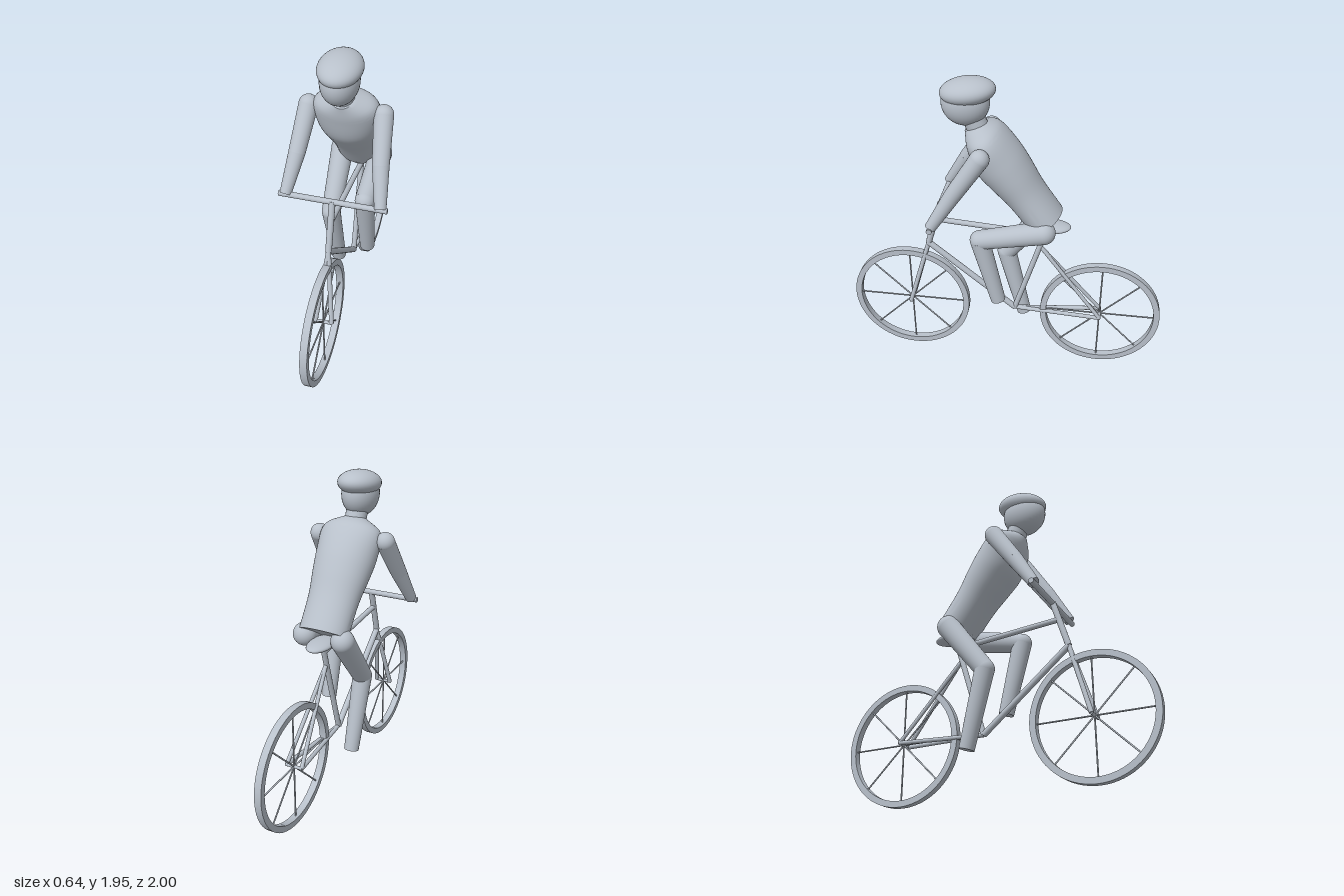
import * as THREE from 'three';
import { toCreasedNormals } from 'three/addons/utils/BufferGeometryUtils.js';

const V = (x, y, z) => new THREE.Vector3(x, y, z);

export function createModel() {
  const model = new THREE.Group();
  const grey = new THREE.MeshStandardMaterial({ color: 0xb8c0ca });
  grey.name = 'pale grey';

  function add(name, geometry, parent = model) {
    const mesh = new THREE.Mesh(geometry, grey);
    mesh.name = name;
    parent.add(mesh);
    return mesh;
  }
  // Round bar between two points, optionally tapered
  function bar(name, a, b, ra, rb = ra, parent = model, sides = 20) {
    const d = b.clone().sub(a);
    const mesh = add(name, new THREE.CylinderGeometry(rb, ra, d.length(), sides), parent);
    mesh.position.copy(a).addScaledVector(d, 0.5);
    mesh.quaternion.setFromUnitVectors(V(0, 1, 0), d.normalize());
    return mesh;
  }
  function ellipsoid(name, center, rx, ry, rz, parent = model) {
    const mesh = add(name, new THREE.SphereGeometry(1, 36, 24), parent);
    mesh.scale.set(rx, ry, rz);
    mesh.position.copy(center);
    return mesh;
  }
  // Two tapered segments with ball joints at the root and the bend
  function limb(name, root, bend, end, r) {
    const g = new THREE.Group();
    g.name = name;
    model.add(g);
    ellipsoid(name + 'RootJoint', root, r[0], r[0], r[0], g);
    bar(name + 'Upper', root, bend, r[0], r[1], g, 28);
    ellipsoid(name + 'BendJoint', bend, r[1], r[1], r[1], g);
    bar(name + 'Lower', bend, end, r[1], r[2], g, 28);
  }

  // Wheels: flat rectangular rim with eight spokes
  const axleY = 0.383, axleZ = 0.617;
  for (const [name, z] of [['frontWheel', axleZ], ['rearWheel', -axleZ]]) {
    const wheel = new THREE.Group();
    wheel.name = name;
    wheel.position.set(0, axleY, z);
    model.add(wheel);
    const section = [[0.345, -0.022], [0.383, -0.022], [0.383, 0.022], [0.345, 0.022], [0.345, -0.022]];
    const rim = new THREE.LatheGeometry(section.map(p => new THREE.Vector2(...p)), 72);
    add(name + 'Rim', toCreasedNormals(rim, 0.6), wheel).rotation.z = Math.PI / 2;
    for (let i = 0; i < 8; i++) {
      const a = i * Math.PI / 4;
      bar(name + 'Spoke', V(0, 0, 0), V(0, Math.sin(a) * 0.35, Math.cos(a) * 0.35), 0.005, 0.005, wheel, 8);
    }
    bar(name + 'Axle', V(-0.055, 0, 0), V(0.055, 0, 0), 0.01, 0.01, wheel);
  }

  // Bicycle frame
  const crown = V(0, 0.83, 0.485), bracket = V(0, 0.37, -0.067);
  const stem = V(0, 1.13, 0.395), seatTop = V(0, 1.01, -0.262);
  bar('steeringTube', crown, stem, 0.019);
  bar('topTube', V(0, 1.01, 0.43), V(0, 0.96, -0.247), 0.017);
  bar('downTube', crown, bracket, 0.019);
  bar('seatTube', bracket, seatTop, 0.017);
  for (const s of [-1, 1]) {
    bar('fork', crown, V(s * 0.05, axleY, axleZ), 0.014);
    bar('chainStay', bracket, V(s * 0.05, axleY, -axleZ), 0.013);
    bar('seatStay', V(0, 0.87, -0.222), V(s * 0.05, axleY, -axleZ), 0.012);
  }
  bar('handlebar', V(-0.318, 1.125, 0.395), V(0.318, 1.125, 0.395), 0.017);
  ellipsoid('saddle', V(0, 1.025, -0.275), 0.075, 0.028, 0.13);

  // Torso: elliptical sections along a leaning axis [height, forward offset, half depth, half width]
  const rows = [
    [0, 0, 0.115, 0.152], [0.215, 0.013, 0.122, 0.156], [0.36, 0.022, 0.14, 0.174],
    [0.48, 0.03, 0.148, 0.187], [0.62, 0.025, 0.12, 0.19], [0.665, 0.028, 0.102, 0.165], [0.725, 0.045, 0.058, 0.06],
  ];
  const spine = new THREE.CatmullRomCurve3(rows.map(r => V(r[0], r[1], r[2])));
  const width = new THREE.CatmullRomCurve3(rows.map(r => V(r[3], r[0], 0)));
  const torso = new THREE.CylinderGeometry(1, 1, 1, 48, 30);
  const pos = torso.attributes.position;
  for (let i = 0; i < pos.count; i++) {
    const t = THREE.MathUtils.clamp(pos.getY(i) + 0.5, 0, 1);
    const p = spine.getPoint(t), w = width.getPoint(t).x;
    pos.setXYZ(i, pos.getX(i) * w, p.x, p.y + pos.getZ(i) * p.z);
  }
  const body = add('torso', toCreasedNormals(torso, 0.7));
  body.position.set(0, 1.08, -0.25);
  body.rotation.x = 0.571;

  // Head, neck and helmet
  bar('neck', V(0, 1.62, 0.14), V(0, 1.77, 0.2), 0.065);
  ellipsoid('head', V(0, 1.805, 0.222), 0.108, 0.135, 0.139);
  ellipsoid('helmet', V(0, 1.873, 0.208), 0.124, 0.076, 0.16).rotation.x = 0.12;

  // Arms reach the bar; the legs are at opposite ends of a pedal stroke
  for (const [side, s] of [['left', 1], ['right', -1]]) {
    limb(side + 'Arm', V(s * 0.217, 1.565, 0.11), V(s * 0.243, 1.335, 0.265),
      V(s * 0.277, 1.13, 0.395), [0.057, 0.049, 0.034]);
  }
  limb('leftLeg', V(0.125, 1.055, -0.25), V(0.122, 0.965, 0.135), V(0.115, 0.515, 0.025), [0.071, 0.06, 0.046]);
  limb('rightLeg', V(-0.125, 1.055, -0.25), V(-0.13, 0.725, 0.005), V(-0.117, 0.255, -0.115), [0.071, 0.06, 0.046]);

  return model;
}
